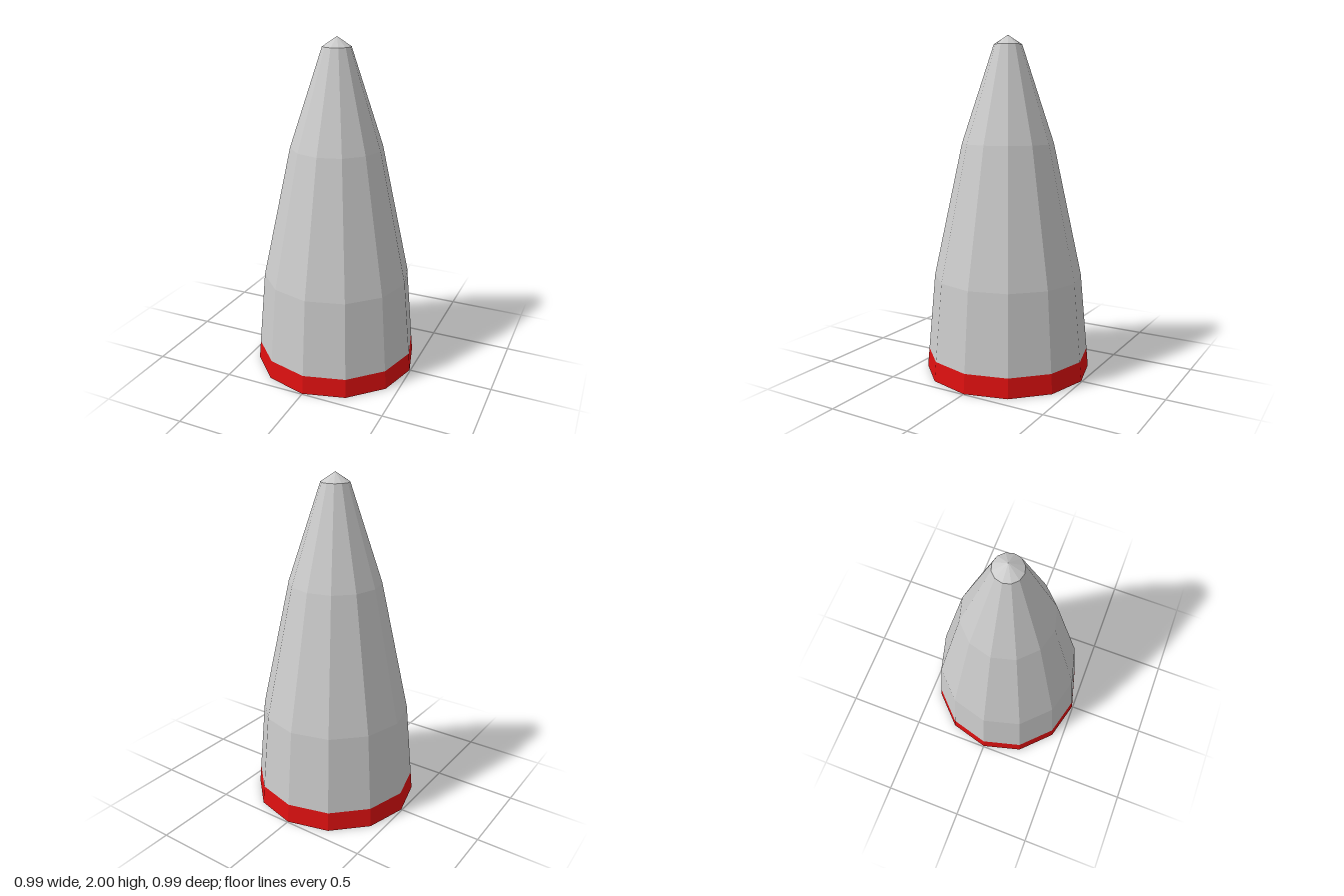
import * as THREE from 'three';

const SIDES = 12;

export function createModel() {
  const group = new THREE.Group();
  group.name = 'taperedCone';
  const grey = new THREE.MeshStandardMaterial({ color: 0xcccccc, flatShading: true });
  const red = new THREE.MeshStandardMaterial({ color: 0xdd1010, flatShading: true });

  // Faceted turned part from [radius, height] pairs, listed bottom to top
  const turn = (name, profile, material) => {
    const points = profile.map(([r, y]) => new THREE.Vector2(r, y));
    const mesh = new THREE.Mesh(new THREE.LatheGeometry(points, SIDES), material);
    mesh.name = name;
    group.add(mesh);
  };

  // Flat underside
  turn('base', [[0, 0], [0.495, 0]], grey);
  // Coloured band around the foot
  turn('baseBand', [[0.495, 0], [0.485, 0.115]], red);
  // Body narrowing in three stages
  turn('body', [[0.485, 0.115], [0.443, 0.58], [0.272, 1.375], [0.083, 1.945]], grey);
  // Blunt pointed cap
  turn('tip', [[0.083, 1.945], [0, 2]], grey);

  return group;
}
